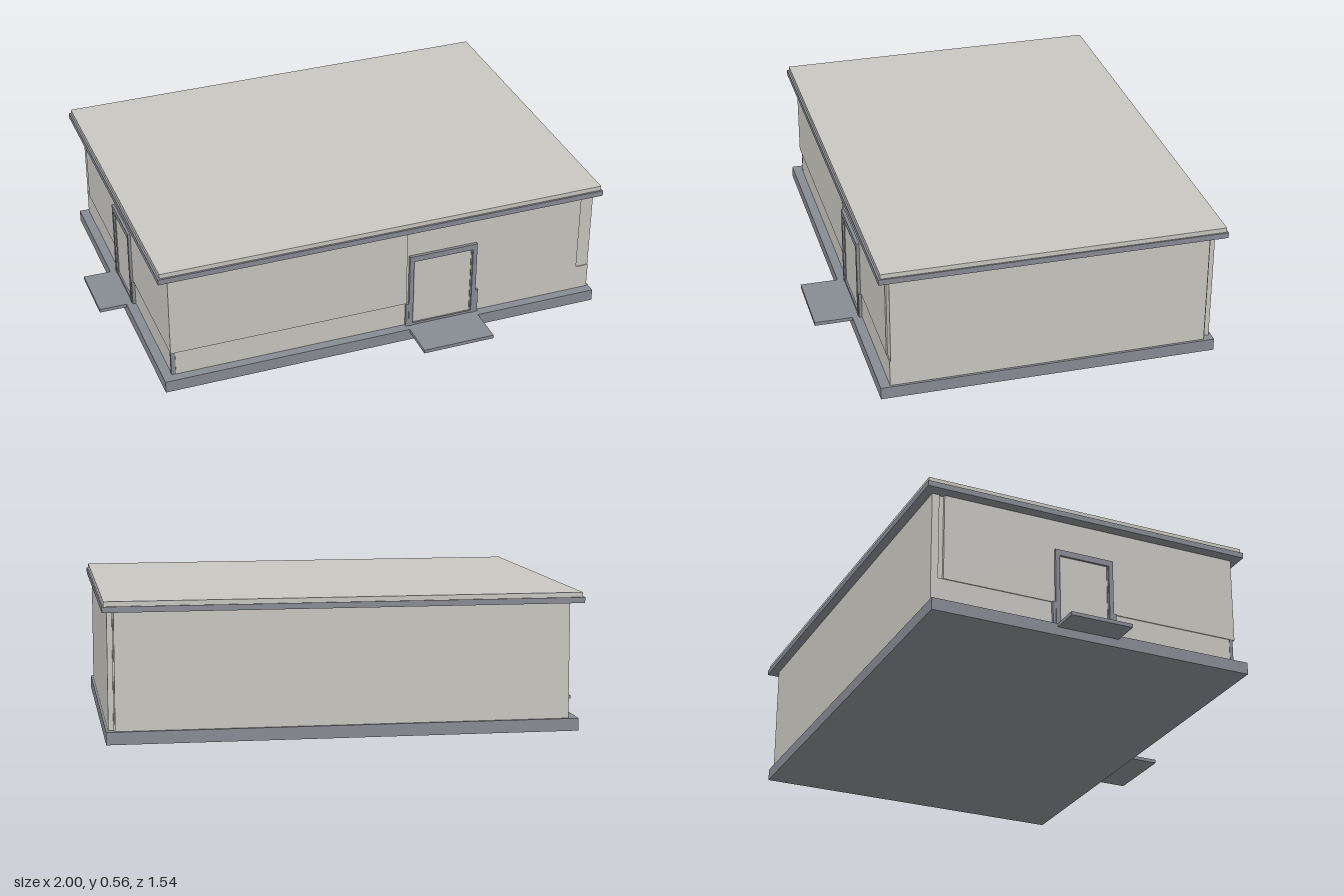
import * as THREE from 'three';

const wall = new THREE.MeshStandardMaterial({ name: 'warm grey wall', color: 0xc8c6c0 });
const trim = new THREE.MeshStandardMaterial({ name: 'slate grey trim', color: 0x878b92 });

// Box given by its lower and upper bounds on each axis
function block(parent, name, material, [x0, x1], [y0, y1], [z0, z1]) {
  const mesh = new THREE.Mesh(new THREE.BoxGeometry(x1 - x0, y1 - y0, z1 - z0), material);
  mesh.position.set((x0 + x1) / 2, (y0 + y1) / 2, (z0 + z1) / 2);
  mesh.name = name;
  parent.add(mesh);
}

// Door facing +z, centred on x = 0, with its back on z = 0
function makeDoor(name, width) {
  const door = new THREE.Group();
  door.name = name;
  const h = width / 2;
  for (const s of [-1, 1]) {
    const span = (a, b) => (s > 0 ? [a, b] : [-b, -a]);
    block(door, 'doorJamb', trim, span(h - 0.018, h), [0.05, 0.385], [-0.01, 0.012]);
    block(door, 'lowerPost', trim, span(h, h + 0.012), [0.05, 0.157], [-0.01, 0.01]);
    block(door, 'leafStile', trim, span(h - 0.024, h - 0.018), [0.055, 0.36], [-0.01, 0.006]);
  }
  block(door, 'doorHead', trim, [-h + 0.018, h - 0.018], [0.36, 0.385], [-0.01, 0.012]);
  block(door, 'doorSill', trim, [-h + 0.018, h - 0.018], [0.05, 0.06], [-0.01, 0.01]);
  block(door, 'doorLeaf', wall, [-h + 0.02, h - 0.02], [0.06, 0.36], [-0.01, 0.003]);
  return door;
}

export function createModel() {
  const model = new THREE.Group();
  model.name = 'building';

  // Foundation and entrance slabs
  block(model, 'foundation', trim, [-0.885, 0.985], [0, 0.05], [-0.74, 0.615]);
  block(model, 'frontStep', trim, [0.155, 0.46], [0.035, 0.05], [0.6, 0.77]);
  block(model, 'sideStep', trim, [-1, -0.87], [0.035, 0.05], [-0.22, 0.04]);

  // Wall core, with facings that leave a notch at the back corner
  block(model, 'wallCore', wall, [-0.838, 0.955], [0.05, 0.52], [-0.71, 0.572]);
  block(model, 'backWall', wall, [-0.845, 0.95], [0.05, 0.52], [-0.73, -0.7]);
  block(model, 'leftWall', wall, [0.94, 0.975], [0.05, 0.52], [-0.7, 0.572]);

  // Front facings: upper panels stand proud of the lower band
  block(model, 'frontPanelWide', wall, [-0.85, 0.15], [0.157, 0.52], [0.56, 0.582]);
  block(model, 'frontPanelNarrow', wall, [0.15, 0.92], [0.157, 0.52], [0.56, 0.577]);
  block(model, 'frontLowerBand', wall, [-0.83, 0.975], [0.05, 0.157], [0.56, 0.576]);
  block(model, 'frontCornerTrim', trim, [-0.848, -0.83], [0.05, 0.157], [0.56, 0.574]);

  // Side facings on the wall with the second door
  block(model, 'sidePanel', wall, [-0.85, -0.83], [0.157, 0.52], [-0.68, 0.575]);
  block(model, 'sideLowerBand', wall, [-0.846, -0.83], [0.05, 0.157], [-0.73, 0.56]);

  // Doors
  const frontDoor = makeDoor('frontDoor', 0.295);
  frontDoor.position.set(0.307, 0, 0.578);
  const sideDoor = makeDoor('sideDoor', 0.25);
  sideDoor.rotation.y = -Math.PI / 2;
  sideDoor.position.set(-0.849, 0, -0.09);
  model.add(frontDoor, sideDoor);

  // Roof edge and roof slab
  block(model, 'roofEdge', trim, [-0.895, 0.995], [0.515, 0.538], [-0.767, 0.616]);
  block(model, 'roofSlab', wall, [-0.887, 0.989], [0.538, 0.557], [-0.761, 0.608]);

  return model;
}
